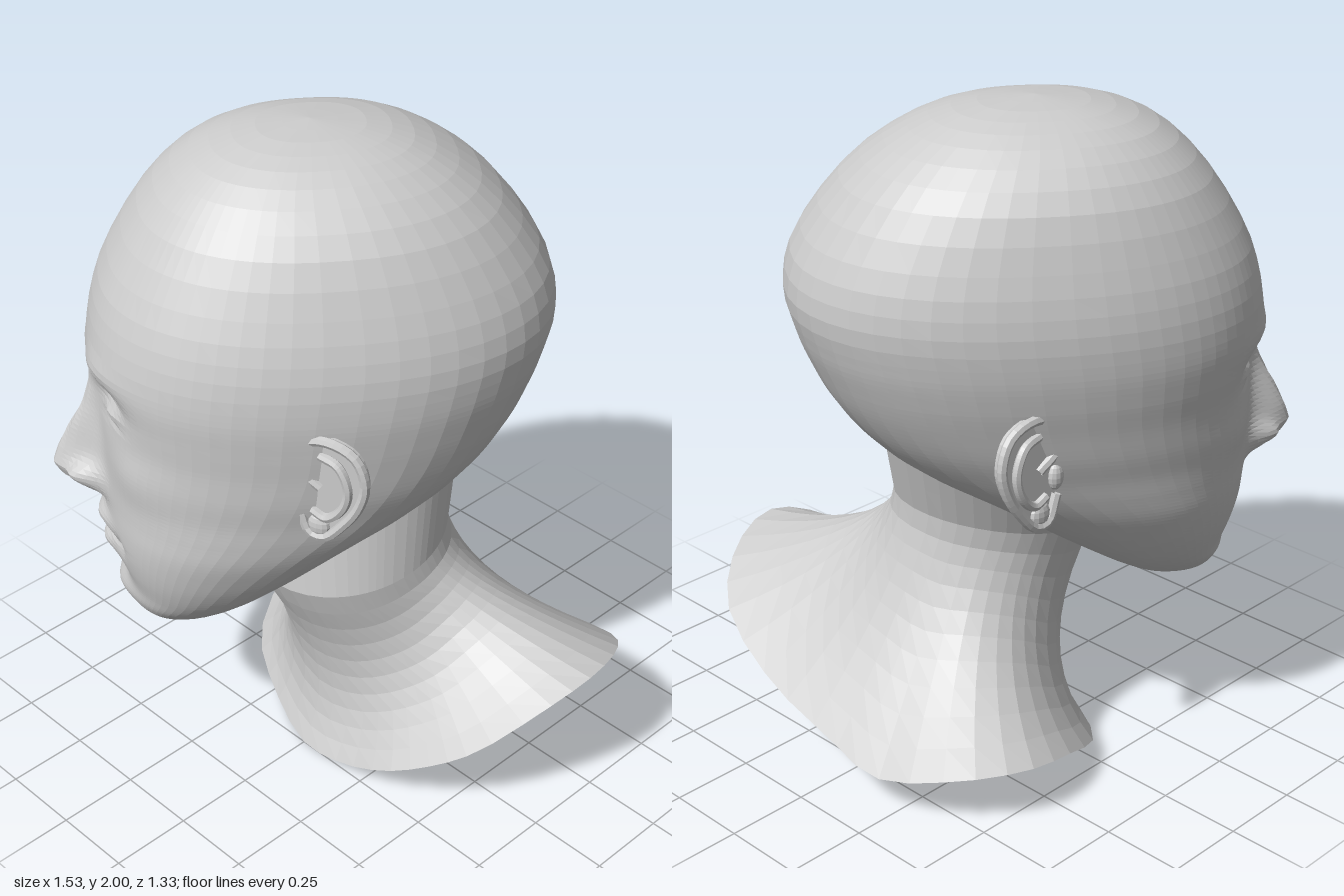
import * as THREE from 'three';

const material = new THREE.MeshStandardMaterial({ color: 0xcccccc, flatShading: true, side: THREE.DoubleSide });
const V = (x, y, z) => new THREE.Vector3(x, y, z);
const { smoothstep } = THREE.MathUtils;

// Skin a grid of points: rows run downward, columns run round the model.
function skin(name, rows, cols, pointAt) {
  const pos = [], idx = [];
  for (let i = 0; i <= rows; i++)
    for (let j = 0; j < cols; j++) pos.push(...pointAt(i / rows, j / cols).toArray());
  for (let i = 0; i < rows; i++)
    for (let j = 0; j < cols; j++) {
      const k = (j + 1) % cols;
      const a = i * cols + j, b = a + cols, c = (i + 1) * cols + k, d = i * cols + k;
      idx.push(a, b, c, a, c, d);
    }
  const g = new THREE.BufferGeometry();
  g.setAttribute('position', new THREE.Float32BufferAttribute(pos, 3));
  g.setIndex(idx);
  g.computeVertexNormals();
  return named(name, g);
}

function named(name, geometry) {
  const m = new THREE.Mesh(geometry, material);
  m.name = name;
  return m;
}

// Head sections: height, reach to the front, reach to the back, half width
const SECTIONS = [
  [2.0, 0, 0, 0], [1.98, 0.19, 0.2, 0.16], [1.92, 0.345, 0.36, 0.285],
  [1.8, 0.475, 0.52, 0.4], [1.62, 0.59, 0.655, 0.475], [1.48, 0.64, 0.695, 0.51],
  [1.36, 0.655, 0.67, 0.515], [1.26, 0.645, 0.63, 0.505], [1.17, 0.635, 0.585, 0.49],
  [1.08, 0.635, 0.52, 0.475], [1.0, 0.635, 0.44, 0.455], [0.93, 0.635, 0.34, 0.44],
  [0.86, 0.635, 0.22, 0.42], [0.79, 0.63, 0.11, 0.39], [0.72, 0.615, 0, 0.355],
  [0.65, 0.595, -0.11, 0.31], [0.59, 0.59, -0.2, 0.255], [0.54, 0.565, -0.28, 0.19],
  [0.515, 0.51, -0.33, 0.11], [0.51, 0.42, -0.42, 0],
];
const frontCurve = new THREE.CatmullRomCurve3(SECTIONS.map(s => V(s[1], s[0], s[3])), false, 'catmullrom', 0.5);
const backCurve = new THREE.CatmullRomCurve3(SECTIONS.map(s => V(s[2], s[0], 0)), false, 'catmullrom', 0.5);

// Face relief: side offset, height, spread across, spread in height, amount
const RELIEF = [
  [0.18, 1.25, 0.085, 0.06, -0.045],  // eye sockets
  [0.185, 1.228, 0.055, 0.034, 0.034], // eyelids
  [0.185, 1.2, 0.055, 0.012, -0.01],  // lid line
  [0.16, 1.345, 0.12, 0.045, 0.014],  // brows
  [0.3, 1.06, 0.09, 0.08, 0.015],     // cheekbones
  [0, 0.83, 0.08, 0.03, 0.028],       // upper lip
  [0, 0.745, 0.075, 0.028, 0.028],    // lower lip
  [0, 0.788, 0.1, 0.01, -0.02],       // mouth line
  [0.13, 0.785, 0.025, 0.03, -0.01],  // mouth corners
  [0, 0.675, 0.09, 0.03, -0.012],     // hollow above the chin
  [0, 0.59, 0.09, 0.05, 0.022],       // chin
];
// Nose wings and nostrils, in the same terms
const NOSE_RELIEF = [[0.095, 0.965, 0.035, 0.038, 0.055], [0.06, 0.915, 0.022, 0.012, -0.03]];
// Nose ridge: height and projection
const NOSE = [[1.32, 0], [1.25, 0.015], [1.18, 0.045], [1.1, 0.09], [1.02, 0.13], [0.97, 0.148], [0.935, 0.125], [0.9, 0.02], [0.87, 0]];
const bell = d => Math.exp(-d * d);

function noseHeight(y) {
  for (let k = 0; k < NOSE.length - 1; k++) {
    const [y0, h0] = NOSE[k], [y1, h1] = NOSE[k + 1];
    if (y <= y0 && y >= y1) return h0 + (h1 - h0) * (y0 - y) / (y0 - y1);
  }
  return 0;
}

function bumps(list, u, y) {
  let d = 0;
  for (const [ru, ry, su, sy, amount] of list)
    for (const side of ru ? [-1, 1] : [1]) d += amount * bell((u - side * ru) / su) * bell((y - ry) / sy);
  return d;
}

function relief(u, y) {
  const n = u + 0.03 * smoothstep(1.2 - y, 0, 0.2);     // nose line
  const m = u - 0.035 * smoothstep(0.92 - y, 0, 0.06);  // mouth line
  return noseHeight(y) * bell(n / (0.05 + 0.035 * smoothstep(1.2 - y, 0, 0.25)))
    + bumps(NOSE_RELIEF, n, y) + bumps(RELIEF, m, y);
}

// Slightly squared sine and cosine, for boxier sections
const squared = v => Math.sign(v) * Math.abs(v) ** 0.87;

function headPoint(s, r) {
  // coarse rows over the skull, fine rows over the face
  const t = s < 0.16 ? s / 0.16 * 0.3 : 0.3 + (s - 0.16) / 0.84 * 0.7;
  const f = frontCurve.getPoint(t), b = backCurve.getPoint(t);
  // columns crowd toward the face
  const angle = r * Math.PI * 2, turn = angle - 0.68 * Math.sin(angle);
  const u = f.z * squared(Math.sin(turn)), y = f.y;
  let w = (f.x - b.x) / 2 + (f.x + b.x) / 2 * squared(Math.cos(turn));
  // the whole head leans a little to one side
  const tilt = 0.05 + 0.05 * smoothstep(y, 1, 1.15);
  w += relief(u, y - tilt * u) * smoothstep(Math.cos(turn), 0.1, 0.5);
  return V(u + (y < 1.25 ? 0.1 : 0.08) * (1.25 - y), y, w);
}

// Cut edge of the shoulders, round from the front toward the left
const rim = new THREE.CatmullRomCurve3([
  V(0, 0.005, 0.25), V(0.18, 0.04, 0.26), V(0.36, 0.12, 0.25), V(0.5, 0.2, 0.2), V(0.61, 0.28, 0.13),
  V(0.73, 0.42, -0.04), V(0.765, 0.47, -0.2), V(0.71, 0.43, -0.38), V(0.58, 0.33, -0.53), V(0.3, 0.22, -0.61),
  V(0, 0.16, -0.64), V(-0.22, 0.13, -0.655), V(-0.44, 0.18, -0.57), V(-0.56, 0.19, -0.4),
  V(-0.55, 0.15, -0.2), V(-0.45, 0.06, 0.02), V(-0.22, 0.035, 0.17),
], true);

function neckPoint(t, s) {
  const edge = rim.getPoint(s);
  const a = Math.atan2(edge.x, edge.z + 0.12), sx = Math.sin(a), cz = Math.cos(a);
  const throat = V(-0.035 + 0.3 * sx, 0.7 - 0.06 * cz, 0.02 + 0.3 * cz);
  if (t < 0.3) {
    const top = V(-0.12 + 0.345 * sx, 1.08 - 0.1 * cz, -0.06 + 0.36 * cz);
    return top.lerp(throat, t / 0.3);
  }
  const bend = V(0.03 + 0.27 * sx, 0.25 + 0.57 * edge.y + 0.15 * Math.max(0, -cz), -0.105 + 0.205 * cz);
  return new THREE.QuadraticBezierCurve3(throat, bend, edge).getPoint((t - 0.3) / 0.7);
}

// Ear facing +z, its front edge toward +x
function makeEar() {
  const ear = new THREE.Group();
  ear.name = 'ear';
  const tube = (name, pts, r) => ear.add(named(name, new THREE.TubeGeometry(
    new THREE.CatmullRomCurve3(pts.map(p => V(...p))), 36, r, 7)));
  const outline = [[0.1, 0.08], [0.07, 0.14], [0, 0.16], [-0.08, 0.13], [-0.11, 0.05], [-0.09, -0.03],
    [-0.045, -0.1], [0.015, -0.16], [0.06, -0.155], [0.09, -0.08]];
  const shape = new THREE.Shape();
  shape.setFromPoints(new THREE.SplineCurve(outline.map(p => new THREE.Vector2(...p))).getPoints(36));
  const plate = new THREE.ExtrudeGeometry(shape, { depth: 0.01, bevelSize: 0.006, bevelThickness: 0.006, bevelSegments: 1 });
  plate.translate(0, 0, -0.015);
  ear.add(named('earShell', plate));
  tube('earOuterFold', [[0.03, 0, 0], [0.09, 0.05, 0.006], ...outline.slice(1).map(p => [...p, 0.008])], 0.015);
  tube('earInnerFold', [[0.03, 0.105, 0], [-0.03, 0.09, 0.01], [-0.06, 0.02, 0.012], [-0.04, -0.05, 0.01], [0.01, -0.095, 0.006], [0.055, -0.08, 0.003]], 0.014);
  const ball = (name, x, y, z, sx, sy, sz) => {
    const m = named(name, new THREE.SphereGeometry(1, 12, 8));
    m.position.set(x, y, z);
    m.scale.set(sx, sy, sz);
    ear.add(m);
  };
  ball('earFrontFlap', 0.09, -0.03, 0.004, 0.026, 0.04, 0.02);
  ball('earLobe', 0.035, -0.13, 0.002, 0.035, 0.038, 0.018);
  ball('earRoot', 0.035, 0.0, -0.05, 0.07, 0.12, 0.045);
  return ear;
}

export function createModel() {
  const model = new THREE.Group();
  model.name = 'headBust';

  // Head, turned toward its right
  const head = new THREE.Group();
  head.name = 'head';
  head.position.set(-0.16, 0, 0.03);
  head.rotation.y = -0.6435;
  head.add(skin('skullAndFace', 92, 72, headPoint));

  // Ears, flaring outward at the back; the right one sits lower and further back
  const flare = 0.58;
  for (const [side, u, y, w] of [[1, 0.515, 1.155, 0.02], [-1, 0.495, 1.075, -0.08]]) {
    const mirror = new THREE.Group();
    mirror.name = side > 0 ? 'leftEar' : 'rightEar';
    mirror.scale.x = side;
    const ear = makeEar();
    ear.position.set(u, y, w);
    const away = V(Math.cos(flare), 0, Math.sin(flare));
    const back = V(Math.sin(flare), 0, -Math.cos(flare));
    ear.quaternion.setFromRotationMatrix(new THREE.Matrix4().makeBasis(back, V(0, 1, 0), away));
    ear.scale.x = -1;
    mirror.add(ear);
    head.add(mirror);
  }
  model.add(head);

  // Open neck and shoulders
  model.add(skin('neckAndShoulders', 14, 40, neckPoint));
  return model;
}
